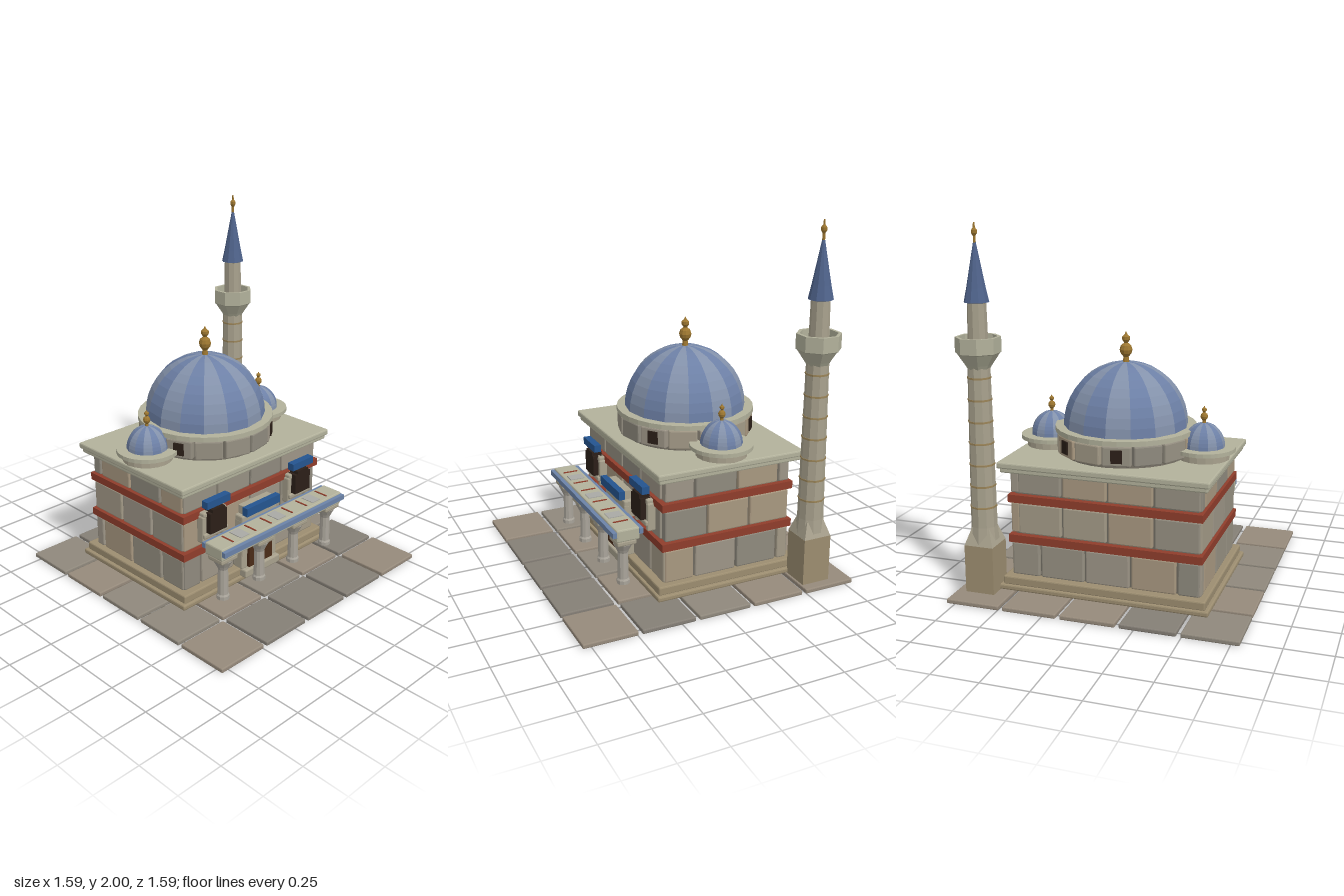
import * as THREE from 'three';
import { RoundedBoxGeometry } from 'three/addons/geometries/RoundedBoxGeometry.js';

const STONE = 0xa8a18d, PALE = 0xb2b19b, BASE = 0x9c8d70, RED = 0x8f3d2b, BLUE = 0x24548f,
  DARK = 0x2b1f18, WOOD = 0x4a2b18, GOLD = 0x9c7630, LEAD = 0x6d80a6, LEAD2 = 0x8492ab, TRIM = 0x6b83a8;
const STONES = [0xa39a87, 0x969082, 0xa89880, 0x8f8a7e, 0x9d9587];
const CZ = -0.15; // centre of the building in z

export function createModel() {
  const model = new THREE.Group();
  const mats = {};
  const mat = (c) => (mats[c] ??= new THREE.MeshStandardMaterial({ color: c, flatShading: true, side: THREE.DoubleSide }));
  let seed = 7;
  const rnd = () => (seed = (seed * 16807) % 2147483647) / 2147483647;
  const stoneColor = () => STONES[Math.floor(rnd() * STONES.length)];

  const add = (parent, name, geo, color, x = 0, y = 0, z = 0) => {
    const m = new THREE.Mesh(geo, mat(color));
    m.name = name;
    m.position.set(x, y, z);
    parent.add(m);
    return m;
  };
  // boxes are given by centre x, bottom y, centre z
  const box = (p, name, w, h, d, x, y, z, c) => add(p, name, new THREE.BoxGeometry(w, h, d), c, x, y + h / 2, z);
  const block = (p, name, w, h, d, x, y, z, c, r = 0.008) =>
    add(p, name, new RoundedBoxGeometry(w, h, d, 1, r), c, x, y + h / 2, z);
  const lathe = (p, name, pts, sides, c, x, y, z, start = 0, sweep = Math.PI * 2) =>
    add(p, name, new THREE.LatheGeometry(pts.map(([r, h]) => new THREE.Vector2(r, h)), sides, start, sweep), c, x, y, z);
  const group = (name) => {
    const g = new THREE.Group();
    g.name = name;
    model.add(g);
    return g;
  };

  // paving
  const paving = group('paving');
  for (let i = -2; i <= 2; i++)
    for (let j = -2; j <= 2; j++)
      block(paving, 'pavingSlab', 0.3, 0.025, 0.3, i * 0.323, 0, j * 0.323, [0x8f887c, 0x857f76, 0x968a7b][Math.floor(rnd() * 3)], 0.006);

  // plinth and roof slab
  block(model, 'plinthStep', 1.17, 0.03, 0.88, 0, 0.025, CZ, BASE);
  block(model, 'plinth', 1.13, 0.05, 0.85, 0, 0.05, CZ, BASE);
  block(model, 'cornice', 1.14, 0.055, 0.85, 0, 0.685, CZ, PALE);
  block(model, 'roofSlab', 1.165, 0.035, 0.875, 0, 0.71, CZ, PALE);

  // coursed masonry walls
  const walls = group('walls');
  box(walls, 'wallCore', 1.02, 0.59, 0.72, 0, 0.1, CZ, 0x6f6a60);
  const course = (half, depth, y, h, shift, axis) => {
    const step = 0.255;
    for (let a = -half - shift; a < half - 0.02; a += step) {
      const lo = Math.max(a, -half), hi = Math.min(a + step, half), w = hi - lo - 0.012, mid = (lo + hi) / 2;
      if (w < 0.04) continue;
      for (const s of [-1, 1]) {
        if (axis === 'x') block(walls, 'wallStone', w, h, 0.05, mid, y, CZ + s * (depth - 0.025), stoneColor());
        else block(walls, 'wallStone', 0.05, h, w, s * (depth - 0.025), y, CZ - mid, stoneColor());
      }
    }
  };
  [[0.1, 0.185, 0.127], [0.338, 0.172, 0], [0.564, 0.12, 0.127]].forEach(([y, h, shift], i) => {
    course(0.53, 0.383, y, h, i === 2 ? 0 : shift, 'x');
    course(0.38, 0.532, y, h, shift * 0.6, 'z');
  });
  for (const y of [0.288, 0.514]) box(walls, 'brickBand', 1.08, 0.043, 0.79, 0, y, CZ, RED);

  // finial of stacked balls
  const finial = (p, s, x, y, z) =>
    lathe(p, 'finial', [[0.02, -0.01], [0.014, 0.03], [0.03, 0.05], [0.035, 0.07], [0.028, 0.092], [0.01, 0.107],
      [0.022, 0.125], [0.022, 0.14], [0.008, 0.152], [0, 0.17]].map(([r, h]) => [r * s, h * s]), 10, GOLD, x, y, z);

  // ribbed dome made of alternating gores
  const dome = (p, r, h, sides, x, y, z) => {
    const pts = [];
    for (let i = 0; i <= 10; i++) {
      const a = (i / 10) * Math.PI / 2;
      pts.push([Math.max(r * Math.cos(a), 0), h * Math.sin(a)]);
    }
    for (let i = 0; i < sides; i++)
      lathe(p, 'domeGore', pts, 1, i % 2 ? LEAD : LEAD2, x, y, z, (i / sides) * Math.PI * 2, Math.PI * 2 / sides);
  };

  // main dome on a drum of stone blocks
  const main = group('mainDome');
  add(main, 'drumCore', new THREE.CylinderGeometry(0.35, 0.35, 0.14, 28), 0x777165, 0, 0.81, CZ);
  for (let i = 0; i < 14; i++) {
    const a = THREE.MathUtils.degToRad(190.7) + (i / 14) * Math.PI * 2;
    const b = block(main, 'drumBlock', 0.155, 0.108, 0.05, Math.sin(a) * 0.352, 0.76, CZ + Math.cos(a) * 0.352, stoneColor());
    b.rotation.y = a;
    if (i % 4 === 0) {
      const w = box(main, 'drumWindow', 0.06, 0.07, 0.03, Math.sin(a) * 0.37, 0.78, CZ + Math.cos(a) * 0.37, DARK);
      w.rotation.y = a;
    }
  }
  add(main, 'drumRing', new THREE.CylinderGeometry(0.388, 0.388, 0.027, 32), PALE, 0, 0.885, CZ);
  dome(main, 0.342, 0.35, 16, 0, 0.895, CZ);
  finial(main, 1, 0, 1.24, CZ);

  // side domes
  for (const s of [-1, 1]) {
    const side = group('sideDome');
    add(side, 'sideDrum', new THREE.CylinderGeometry(0.14, 0.14, 0.06, 20), STONE, s * 0.44, 0.765, CZ);
    add(side, 'sideRing', new THREE.CylinderGeometry(0.172, 0.172, 0.022, 28), PALE, s * 0.44, 0.798, CZ);
    dome(side, 0.115, 0.13, 14, s * 0.44, 0.808, CZ);
    finial(side, 0.58, s * 0.44, 0.932, CZ);
  }

  // minaret
  const minaret = group('minaret');
  const MX = 0.66, MZ = -0.59;
  box(minaret, 'minaretBase', 0.165, 0.265, 0.165, MX, 0.025, MZ, BASE);
  const taper = add(minaret, 'baseTaper', new THREE.CylinderGeometry(0.068, 0.116, 0.1, 4), STONE, MX, 0.34, MZ);
  taper.rotation.y = Math.PI / 4;
  lathe(minaret, 'shaft', [[0.08, 0.29], [0.071, 0.39], [0.06, 1.27]], 10, STONE, MX, 0, MZ);
  for (let i = 0; i < 7; i++)
    add(minaret, 'shaftRing', new THREE.CylinderGeometry(0.0725 - i * 0.0014, 0.0725 - i * 0.0014, 0.01, 10), 0x9a8459, MX, 0.5 + i * 0.117, MZ);
  lathe(minaret, 'gallery', [[0.06, 1.25], [0.072, 1.27], [0.112, 1.33], [0.12, 1.335], [0.12, 1.417], [0.102, 1.417],
    [0.102, 1.35], [0.05, 1.35]], 8, PALE, MX, 0, MZ, Math.PI / 8);
  lathe(minaret, 'upperShaft', [[0.054, 1.34], [0.05, 1.59], [0.058, 1.6]], 10, STONE, MX, 0, MZ);
  lathe(minaret, 'spire', [[0, 1.595], [0.066, 1.595], [0.05, 1.67], [0.007, 1.9]], 10, 0x50648c, MX, 0, MZ);
  lathe(minaret, 'spireFinial', [[0.008, 1.88], [0.007, 1.93], [0.016, 1.945], [0.016, 1.96], [0.006, 1.973], [0.004, 2], [0, 2]], 8, GOLD, MX, 0, MZ);

  // entrance
  const entrance = group('entrance');
  block(entrance, 'doorStep', 0.28, 0.05, 0.09, 0, 0.05, 0.275, STONE);
  for (const s of [-1, 1]) {
    block(entrance, 'doorJamb', 0.045, 0.31, 0.065, s * 0.118, 0.095, 0.258, STONE);
    box(entrance, 'doorLeaf', 0.093, 0.265, 0.06, s * 0.048, 0.095, 0.272, WOOD);
    box(entrance, 'doorHandle', 0.022, 0.022, 0.02, s * 0.05, 0.24, 0.306, GOLD);
  }
  block(entrance, 'doorLintel', 0.28, 0.07, 0.065, 0, 0.36, 0.258, STONE);
  box(entrance, 'doorCanopy', 0.268, 0.05, 0.036, 0, 0.438, 0.302, BLUE);
  box(entrance, 'canopyBacking', 0.23, 0.05, 0.06, 0, 0.43, 0.255, STONE);

  // front windows
  for (const s of [-1, 1]) {
    const win = group('frontWindow'), x = s * 0.34;
    box(win, 'windowPane', 0.125, 0.12, 0.06, x, 0.43, 0.278, DARK);
    box(win, 'windowHead', 0.09, 0.025, 0.06, x, 0.545, 0.278, DARK);
    for (const t of [-1, 1]) block(win, 'windowJamb', 0.03, 0.16, 0.05, x + t * 0.077, 0.37, 0.255, STONE);
    block(win, 'windowLintel', 0.17, 0.03, 0.05, x, 0.52, 0.255, STONE);
    block(win, 'windowSill', 0.18, 0.03, 0.06, x, 0.4, 0.262, STONE);
    box(win, 'windowCanopy', 0.172, 0.042, 0.042, x, 0.585, 0.288, BLUE);
  }

  // portico
  const portico = group('portico');
  const PZ = 0.415;
  block(portico, 'entablature', 0.97, 0.07, 0.13, 0, 0.366, PZ, PALE);
  for (const z of [-0.075, 0.075]) box(portico, 'trimRail', 0.97, 0.03, 0.024, 0, 0.396, PZ + z, TRIM);
  for (const x of [-0.29, 0, 0.29]) box(portico, 'roofPanel', 0.065, 0.006, 0.085, x, 0.434, PZ, 0xa9a9a4);
  for (const x of [-0.38, -0.207, -0.087, 0.087, 0.207, 0.38]) box(portico, 'roofStrip', 0.009, 0.006, 0.085, x, 0.434, PZ, RED);
  for (const x of [-0.42, -0.14, 0.14, 0.42]) {
    lathe(portico, 'column', [[0, 0.1], [0.036, 0.1], [0.036, 0.12], [0.03, 0.13], [0.028, 0.28], [0.036, 0.3], [0.055, 0.335], [0.055, 0.345]],
      10, 0xa9a49a, x, 0, 0.42);
    block(portico, 'capital', 0.12, 0.03, 0.11, x, 0.338, 0.42, STONE);
  }
  return model;
}
